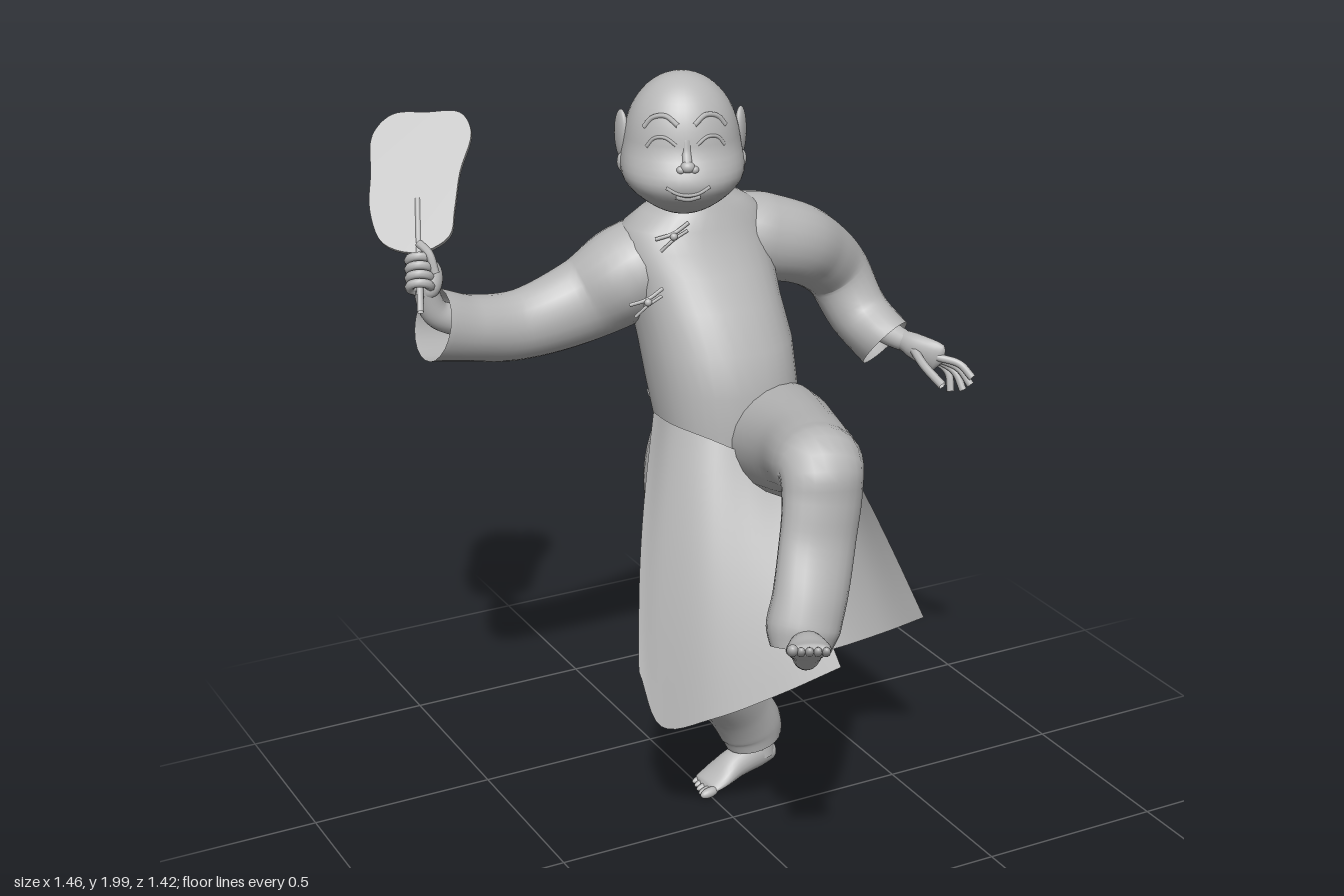
import * as THREE from 'three';

const grey = new THREE.MeshStandardMaterial({ color: 0xb8b8b8, side: THREE.DoubleSide });
grey.name = 'plain grey';

const V = (x, y, z) => new THREE.Vector3(x, y, z);
const vec = (a) => V(a[0], a[1], a[2]);

function mesh(name, geometry) {
  const m = new THREE.Mesh(geometry, grey);
  m.name = name;
  return m;
}

// Smooth surface through rows of points
function skin(rows, closed) {
  const n = rows[0].length, pos = [], index = [];
  rows.forEach((r) => r.forEach((p) => pos.push(p.x, p.y, p.z)));
  for (let i = 0; i < rows.length - 1; i++) {
    for (let j = 0; j < (closed ? n : n - 1); j++) {
      const k = (j + 1) % n;
      const a = i * n + j, b = i * n + k, c = a + n, d = b + n;
      index.push(a, b, c, b, d, c);
    }
  }
  const g = new THREE.BufferGeometry();
  g.setAttribute('position', new THREE.Float32BufferAttribute(pos, 3));
  g.setIndex(index);
  g.computeVertexNormals();
  return g;
}

// Tapering tube; each station is [x, y, z, radius, second radius]
function limb(name, stations, ref, steps = 28, sides = 22) {
  const curve = new THREE.CatmullRomCurve3(stations.map(vec), false, 'centripetal');
  const radii = new THREE.CatmullRomCurve3(stations.map((s) => V(s[3], s[4] ?? s[3], 0)), false, 'centripetal');
  const rows = [];
  for (let i = 0; i <= steps; i++) {
    const t = i / steps, c = curve.getPoint(t), r = radii.getPoint(t);
    const n = ref.clone().cross(curve.getTangent(t)).normalize();
    const b = curve.getTangent(t).cross(n);
    const row = [];
    for (let j = 0; j < sides; j++) {
      const a = (j / sides) * Math.PI * 2;
      row.push(c.clone().addScaledVector(n, Math.cos(a) * r.x).addScaledVector(b, Math.sin(a) * r.y));
    }
    rows.push(row);
  }
  return mesh(name, skin(rows, true));
}

function tube(name, points, radius, steps = 14) {
  const curve = new THREE.CatmullRomCurve3(points.map((p) => (p.isVector3 ? p : vec(p))));
  return mesh(name, new THREE.TubeGeometry(curve, steps, radius, 7));
}

function ball(name, p, sx, sy, sz) {
  const m = mesh(name, new THREE.SphereGeometry(1, 20, 14));
  m.position.copy(vec(p));
  m.scale.set(sx, sy, sz);
  return m;
}

// Point on the head for a unit direction, face towards +z
function headPoint(d) {
  const low = Math.max(0, -d.y);
  const cheek = Math.exp(-((d.y + 0.52) ** 2) / 0.13);
  const x = d.x * (0.145 + 0.026 * cheek);
  const z = d.z * (d.z < 0 ? 0.155 - 0.07 * low : 0.138 + 0.032 * cheek) + 0.06 * low * (1 - 0.3 * low);
  return V(x, d.y * 0.174, z);
}
const onFace = (x, y, lift = 0) => {
  const d = V(x, y, Math.sqrt(Math.max(0, 1 - x * x - y * y)));
  return headPoint(d).addScaledVector(d, lift);
};

function makeHead() {
  const head = new THREE.Group();
  head.name = 'head';
  const g = new THREE.SphereGeometry(1, 40, 30), p = g.attributes.position;
  for (let i = 0; i < p.count; i++) {
    const q = headPoint(V().fromBufferAttribute(p, i));
    p.setXYZ(i, q.x, q.y, q.z);
  }
  g.computeVertexNormals();
  head.add(mesh('skull and face', g));
  // Nose and smiling mouth
  const nose = onFace(0, -0.16, -0.002);
  head.add(tube('nose bridge', [onFace(0, 0.2, -0.011), onFace(0, 0, -0.007), nose], 0.013));
  head.add(ball('nose tip', nose.toArray(), 0.018, 0.015, 0.015));
  head.add(tube('upper lip', [-0.32, -0.16, 0, 0.16, 0.32].map((x) => onFace(x, -0.55 + 1.1 * x * x, -0.001)), 0.005));
  head.add(tube('lower lip', [-0.18, 0, 0.18].map((x) => onFace(x, -0.62 + 1.2 * x * x, -0.002)), 0.007));
  for (const s of [-1, 1]) {
    // Closed eyes, brows and ears
    head.add(ball('nostril', onFace(s * 0.11, -0.2, -0.004).toArray(), 0.011, 0.01, 0.01));
    head.add(tube('closed eye', [0.18, 0.36, 0.54, 0.66].map((x, i) => onFace(s * x, [0.13, 0.23, 0.21, 0.08][i], -0.002)), 0.005));
    head.add(tube('eyebrow', [0.14, 0.34, 0.56, 0.7].map((x, i) => onFace(s * x, [0.4, 0.52, 0.48, 0.34][i], -0.002)), 0.007));
    const ear = ball('ear', [s * 0.149, 0.015, -0.014], 0.014, 0.064, 0.032);
    ear.rotation.y = s * -0.35;
    head.add(ear, ball('ear lobe', [s * 0.15, -0.052, 0], 0.013, 0.024, 0.017));
  }
  head.position.set(-0.02, 1.826, -0.235);
  head.rotation.y = -0.38;
  return head;
}

// Bare foot, heel at the origin and toes along forward
function makeFoot(name, at, forward, up, side) {
  const foot = new THREE.Group();
  foot.name = name;
  const S = [[0, 0.035, -0.045, 0.004, 0.004], [0, 0.037, -0.033, 0.028, 0.028], [0, 0.047, 0.02, 0.038, 0.046],
    [0, 0.042, 0.09, 0.045, 0.04], [0, 0.025, 0.15, 0.054, 0.023], [0, 0.017, 0.185, 0.05, 0.014], [0, 0.015, 0.195, 0.01, 0.004]];
  foot.add(limb('foot', S, V(0, 1, 0)));
  foot.add(limb('ankle', [[0, 0.04, 0, 0.038], [0, 0.1, -0.004, 0.036], [0, 0.16, 0, 0.045]], V(0, 0, 1), 8));
  for (let i = 0; i < 5; i++) {
    const r = i === 0 ? 0.014 : 0.0105;
    foot.add(ball('toe', [side * (0.04 - i * 0.02), r + 0.001, 0.2 - i * 0.006], r, r, 0.028));
  }
  const f = vec(forward).normalize();
  const x = vec(up).cross(f).normalize();
  foot.quaternion.setFromRotationMatrix(new THREE.Matrix4().makeBasis(x, f.clone().cross(x), f));
  foot.position.copy(vec(at));
  return foot;
}

// Hanging robe panel between a waist curve and a hem curve
function panel(name, waist, hem, bulge) {
  const a = new THREE.CatmullRomCurve3(waist.map(vec)), b = new THREE.CatmullRomCurve3(hem.map(vec));
  const rows = [];
  for (let i = 0; i <= 14; i++) {
    const t = i / 14, row = [];
    for (let j = 0; j <= 24; j++) {
      const p = a.getPoint(j / 24).lerp(b.getPoint(j / 24), t);
      row.push(p.addScaledVector(vec(bulge), Math.sin(t * Math.PI)));
    }
    rows.push(row);
  }
  return mesh(name, skin(rows, false));
}

function makeFan() {
  const fan = new THREE.Group();
  fan.name = 'fan';
  const outline = [[0, -0.03], [0.078, 0.005], [0.094, 0.08], [0.11, 0.18], [0.142, 0.29], [0.115, 0.347], [0.03, 0.358],
    [-0.06, 0.362], [-0.112, 0.31], [-0.118, 0.2], [-0.122, 0.1], [-0.09, 0.005]];
  const curve = new THREE.CatmullRomCurve3(outline.map(([x, y]) => V(x, y, 0)), true);
  const shape = new THREE.Shape(curve.getPoints(60).map((p) => new THREE.Vector2(p.x, p.y)));
  const leaf = mesh('fan leaf', new THREE.ExtrudeGeometry(shape, { depth: 0.012, bevelEnabled: false }));
  leaf.position.z = -0.006;
  fan.add(leaf, tube('fan handle', [[0, -0.19, 0], [0, -0.06, 0], [0, 0.12, 0]], 0.009));
  // Fist wrapped round the handle
  for (let i = 0; i < 4; i++) {
    const finger = mesh('curled finger', new THREE.TorusGeometry(0.026, 0.012, 8, 18));
    finger.position.y = -0.05 - i * 0.024;
    finger.rotation.x = Math.PI / 2;
    fan.add(finger);
  }
  fan.add(ball('fist', [0.018, -0.09, -0.022], 0.036, 0.055, 0.032));
  fan.add(tube('thumb', [[0.04, -0.09, 0], [0.03, -0.045, 0.022], [0.004, -0.012, 0.02]], 0.011));
  const u = V(0.85, 0.12, 0.5).normalize(), w = u.clone().cross(V(0.26, 0.73, -0.62)).normalize();
  fan.quaternion.setFromRotationMatrix(new THREE.Matrix4().makeBasis(u, w.clone().cross(u), w));
  fan.position.set(-0.645, 1.59, -0.455);
  return fan;
}

export function createModel() {
  const model = new THREE.Group();
  model.name = 'dancing man with fan';
  const X = V(1, 0, 0), Z = V(0, 0, 1);

  // Robe body: [y, centre x, centre z, half width, half depth]
  const body = [[1.03, 0.085, -0.175, 0.185, 0.17], [1.1, 0.08, -0.185, 0.188, 0.178], [1.2, 0.072, -0.205, 0.19, 0.195],
    [1.3, 0.07, -0.236, 0.193, 0.2], [1.4, 0.065, -0.284, 0.192, 0.192], [1.48, 0.06, -0.315, 0.2, 0.172],
    [1.54, 0.055, -0.325, 0.205, 0.148], [1.59, 0.06, -0.325, 0.19, 0.127], [1.625, 0.072, -0.32, 0.155, 0.11],
    [1.65, 0.075, -0.315, 0.11, 0.095], [1.675, 0.055, -0.31, 0.08, 0.083], [1.695, 0.043, -0.31, 0.07, 0.076]];
  const soft = (v) => Math.sign(v) * Math.abs(v) ** 0.88;
  model.add(mesh('robe body', skin(body.map(([y, cx, cz, rx, rz]) => Array.from({ length: 36 }, (_, j) => {
    const a = (j / 36) * Math.PI * 2;
    return V(cx + soft(Math.cos(a)) * rx, y, cz - soft(Math.sin(a)) * rz);
  })), true)));

  // Neck, collar and head
  model.add(limb('neck', [[0.04, 1.62, -0.3, 0.065], [0.02, 1.7, -0.28, 0.062], [-0.005, 1.78, -0.26, 0.068]], Z));
  const collar = mesh('collar', new THREE.TorusGeometry(0.07, 0.007, 10, 36));
  collar.position.set(0.043, 1.692, -0.31);
  collar.rotation.x = Math.PI / 2 + 0.1;
  model.add(collar, makeHead());

  // Knotted fastenings down the front
  for (const [x, y, z] of [[-0.05, 1.585, -0.222], [-0.14, 1.435, -0.19]]) {
    model.add(tube('fastening cord', [[x - 0.05, y - 0.005, z - 0.005], [x - 0.01, y + 0.01, z + 0.015], [x + 0.035, y + 0.03, z + 0.01]], 0.005));
    model.add(tube('fastening loop', [[x - 0.04, y - 0.035, z + 0.005], [x - 0.01, y - 0.005, z + 0.018], [x + 0.03, y + 0.012, z + 0.015]], 0.004));
    model.add(ball('fastening knot', [x - 0.01, y + 0.003, z + 0.018], 0.01, 0.01, 0.01));
  }

  // Sleeves and arms
  model.add(limb('left sleeve', [[0.05, 1.6, -0.32, 0.045], [0.13, 1.565, -0.32, 0.088], [0.23, 1.522, -0.31, 0.115, 0.115],
    [0.34, 1.488, -0.3, 0.107, 0.1], [0.43, 1.435, -0.33, 0.098, 0.088], [0.505, 1.365, -0.355, 0.09, 0.082],
    [0.552, 1.255, -0.318, 0.082, 0.085], [0.595, 1.182, -0.245, 0.077, 0.112]], Z, 36));
  model.add(limb('right sleeve', [[0.06, 1.54, -0.34, 0.07], [-0.02, 1.505, -0.345, 0.112, 0.125], [-0.11, 1.46, -0.36, 0.125, 0.13], [-0.22, 1.39, -0.4, 0.112, 0.1],
    [-0.4, 1.347, -0.41, 0.091, 0.085], [-0.54, 1.365, -0.398, 0.085], [-0.645, 1.395, -0.385, 0.094, 0.086]], Z, 36));
  model.add(limb('left forearm', [[0.57, 1.24, -0.28, 0.04], [0.597, 1.215, -0.22, 0.033], [0.615, 1.205, -0.17, 0.028]], Z, 12));
  model.add(limb('right forearm', [[-0.56, 1.385, -0.4, 0.042], [-0.63, 1.42, -0.4, 0.036], [-0.66, 1.5, -0.395, 0.03]], Z, 12));

  // Open left hand
  model.add(limb('left palm', [[0.605, 1.215, -0.2, 0.02], [0.625, 1.2, -0.145, 0.028, 0.036], [0.66, 1.18, -0.085, 0.02, 0.042], [0.67, 1.172, -0.07, 0.004]], V(0, 1, 0), 10));
  [[0.718, 1.14, -0.002], [0.722, 1.115, -0.015], [0.712, 1.095, -0.035], [0.692, 1.085, -0.065]].forEach((tip, i) => {
    const base = [0.655 + i * 0.008, 1.185 - i * 0.009, -0.075 - i * 0.014];
    const knuckle = base.map((c, k) => (c + tip[k]) / 2 + [0.01, 0.01, 0.006][k]);
    model.add(tube('left finger', [base, knuckle, tip], 0.0105));
  });
  model.add(tube('left thumb', [[0.615, 1.2, -0.14], [0.61, 1.17, -0.07], [0.63, 1.13, -0.01]], 0.012));
  model.add(makeFan());

  // Trouser legs: left raised, right standing
  model.add(limb('raised left leg', [[0.15, 1.06, -0.2, 0.11, 0.12], [0.155, 1.065, -0.06, 0.142, 0.148], [0.1, 1.112, 0.18, 0.126, 0.12],
    [0.04, 1.158, 0.345, 0.1, 0.112], [0.02, 1.165, 0.41, 0.093, 0.106], [0.008, 1.1, 0.437, 0.072, 0.103], [-0.015, 1.0, 0.458, 0.064, 0.1],
    [-0.055, 0.88, 0.495, 0.072, 0.096], [-0.08, 0.81, 0.508, 0.078, 0.095], [-0.095, 0.76, 0.522, 0.06, 0.078]], X, 44));
  model.add(limb('standing right leg', [[0.01, 1.1, -0.18, 0.12], [-0.01, 0.95, -0.18, 0.14], [-0.04, 0.7, -0.13, 0.116, 0.13],
    [-0.05, 0.5, -0.12, 0.098, 0.128], [0.01, 0.38, -0.135, 0.095, 0.118], [0.1, 0.25, -0.172, 0.088, 0.098],
    [0.148, 0.17, -0.183, 0.09, 0.085], [0.16, 0.125, -0.184, 0.08, 0.076]], Z, 40));
  model.add(makeFoot('raised left foot', [-0.092, 0.71, 0.55], [-0.1, 0.165, 0.19], [0.1, 0.84, -0.3], -1));
  model.add(makeFoot('standing right foot', [0.19, 0.03, -0.186], [-1, -0.12, 0.1], [0, 1, 0], 1));

  // Robe skirt: back panel sweeping round the left hip, and front flap
  model.add(panel('back skirt panel',
    [[0.28, 1.13, -0.08], [0.275, 1.15, -0.2], [0.21, 1.15, -0.335], [0.07, 1.14, -0.375], [-0.08, 1.14, -0.33]],
    [[0.53, 0.52, 0.09], [0.47, 0.44, -0.02], [0.37, 0.37, -0.12], [0.25, 0.34, -0.18], [0.1, 0.335, -0.2]], [0.018, 0, -0.022]));
  model.add(panel('front skirt flap',
    [[-0.115, 1.12, -0.22], [-0.11, 1.12, -0.12], [-0.05, 1.1, -0.03], [0.03, 1.06, 0.01], [0.12, 1.02, 0.03]],
    [[-0.265, 0.5, -0.02], [-0.242, 0.37, 0.06], [-0.15, 0.42, 0.17], [0, 0.49, 0.25], [0.145, 0.56, 0.31]], [-0.02, 0, 0.01]));
  return model;
}
